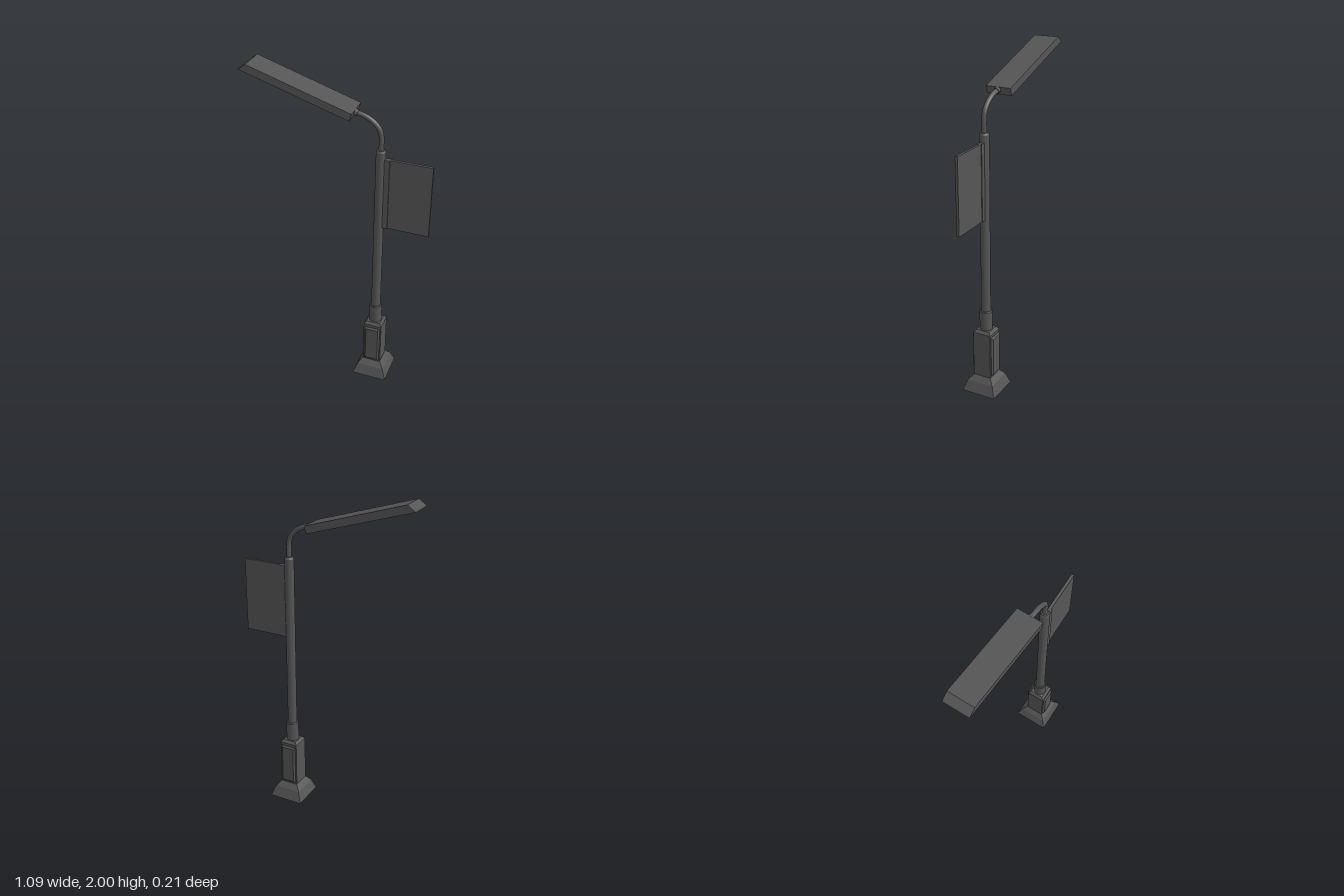
import * as THREE from 'three';

const PX = 0.246; // pole axis

export function createModel() {
  const model = new THREE.Group();
  const smooth = new THREE.MeshStandardMaterial({ color: 0x555555 });
  const flat = new THREE.MeshStandardMaterial({ color: 0x555555, flatShading: true });

  const add = (name, geo, mat, x = 0, y = 0, z = 0, parent = model) => {
    const mesh = new THREE.Mesh(geo, mat);
    mesh.name = name;
    mesh.position.set(x, y, z);
    parent.add(mesh);
    return mesh;
  };
  // Square tapered block from half-width h0 at y0 to h1 at y1
  const frustum = (name, h0, h1, y0, y1) => add(name,
    new THREE.CylinderGeometry(h1 * Math.SQRT2, h0 * Math.SQRT2, y1 - y0, 4).rotateY(Math.PI / 4),
    flat, PX, (y0 + y1) / 2);
  // Round section on the pole axis
  const round = (name, r0, r1, y0, y1) => add(name,
    new THREE.CylinderGeometry(r1, r0, y1 - y0, 24), smooth, PX, (y0 + y1) / 2);

  // Plinth and square pedestal
  frustum('plinthFoot', 0.107, 0.083, 0, 0.066);
  frustum('plinthShoulder', 0.083, 0.056, 0.066, 0.1);
  frustum('pedestal', 0.056, 0.056, 0.1, 0.385);
  frustum('pedestalTop', 0.056, 0.042, 0.385, 0.402);

  // Raised bevelled panels on the front and back of the pedestal
  const w = 0.038, h = 0.118;
  const panelShape = new THREE.Shape([[-w, -h], [w, -h], [w, h], [-w, h]].map(p => new THREE.Vector2(...p)));
  const panelGeo = new THREE.ExtrudeGeometry(panelShape, {
    depth: 0.006, bevelThickness: 0.009, bevelSize: 0.01, bevelSegments: 1,
  });
  for (const side of [1, -1]) {
    const panel = add(side > 0 ? 'frontPanel' : 'backPanel', panelGeo, flat, PX, 0.24, side * 0.053);
    if (side < 0) panel.rotation.y = Math.PI;
  }

  // Pole
  round('poleCollar', 0.038, 0.038, 0.4, 0.517);
  round('collarBevel', 0.038, 0.034, 0.517, 0.522);
  round('pole', 0.028, 0.028, 0.52, 1.583);
  round('poleCap', 0.028, 0.022, 1.583, 1.595);

  // Curved arm
  const armPath = new THREE.CatmullRomCurve3([
    [PX, 1.58], [PX, 1.67], [0.235, 1.712], [0.2, 1.752], [0.155, 1.778], [0.095, 1.795],
  ].map(([x, y]) => new THREE.Vector3(x, y, 0)));
  add('arm', new THREE.TubeGeometry(armPath, 40, 0.0145, 16), smooth);
  const socket = add('armSocket', new THREE.CylinderGeometry(0.019, 0.019, 0.022, 20), smooth, 0.1, 1.793);
  socket.rotation.z = Math.PI / 2 - 0.3;

  // Lamp head: slanted profile, s runs arm end to tip, t runs top to bottom
  const lamp = new THREE.Group();
  lamp.name = 'lampHead';
  model.add(lamp);
  const [A, B, C, D] = [[0.1, 1.812], [-0.5, 2.0], [-0.546, 1.966], [0.087, 1.769]]
    .map(p => new THREE.Vector2(...p));
  const at = (s, t) => A.clone().lerp(B, s).lerp(D.clone().lerp(C, s), t);
  const lampPart = (name, s0, s1, t0, t1, z0, z1) => add(name,
    new THREE.ExtrudeGeometry(new THREE.Shape([at(s0, t0), at(s1, t0), at(s1, t1), at(s0, t1)]),
      { depth: z1 - z0, bevelEnabled: false }), flat, 0, 0, z0, lamp);
  const zb = -0.082, zf = 0.071, rim = 0.012, deep = 0.68;
  lampPart('housing', 0, 1, 0, deep, zb, zf);
  lampPart('backRim', 0, 1, deep, 1, zb, zb + rim);
  lampPart('frontRim', 0, 1, deep, 1, zf - rim, zf);
  lampPart('armEndRim', 0, 0.025, deep, 1, zb + rim, zf - rim);
  lampPart('tipRim', 0.975, 1, deep, 1, zb + rim, zf - rim);
  for (const z of [-0.037, 0.026])
    lampPart('lightStrip', 0.05, 0.95, deep, 0.9, z - 0.021, z + 0.021);

  // Banner and its mounting rail
  add('bannerRail', new THREE.BoxGeometry(0.036, 0.445, 0.028), flat, 0.282, 1.319);
  add('banner', new THREE.BoxGeometry(0.243, 0.445, 0.016), flat, 0.4205, 1.319, -0.002);

  return model;
}
